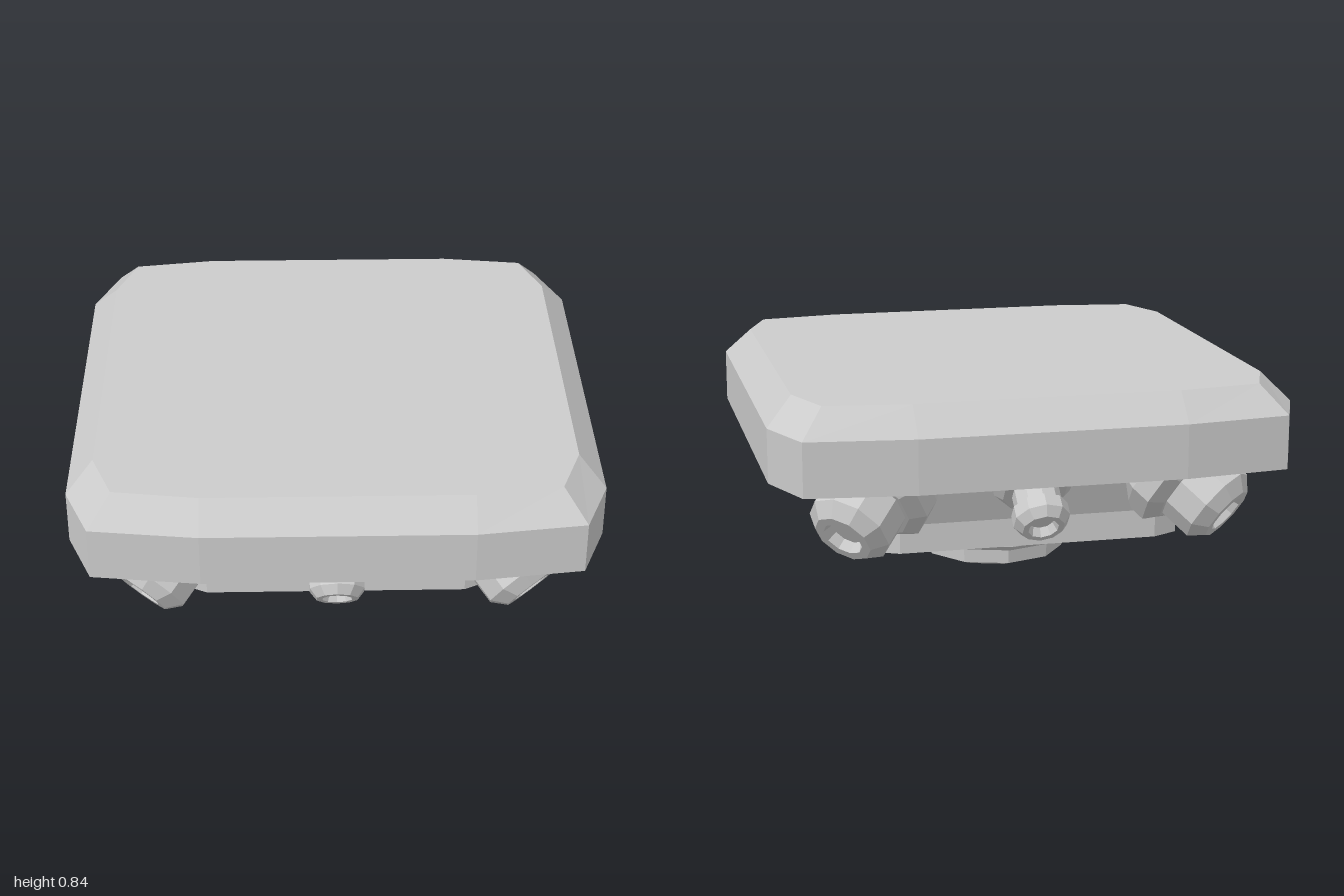
import * as THREE from 'three';

const material = new THREE.MeshStandardMaterial({ color: 0xcccccc, flatShading: true, side: THREE.DoubleSide });

// Mirror the corner points of one quadrant into a full outline, front -> right -> back -> left
function outline(quarter) {
  const back = [...quarter].reverse();
  return [
    ...quarter.map(([x, z]) => [x, z]),
    ...back.map(([x, z]) => [x, -z]),
    ...quarter.map(([x, z]) => [-x, -z]),
    ...back.map(([x, z]) => [-x, z]),
  ];
}

// Closed solid through layers of { y, quarter }, listed from the bottom up
function loft(name, layers) {
  const rings = layers.map(({ y, quarter }) => outline(quarter).map(([x, z]) => [x, y, z]));
  const pos = [];
  const n = rings[0].length;
  const bottom = [0, layers[0].y, 0];
  const top = [0, layers[layers.length - 1].y, 0];
  for (let i = 0; i < n; i++) {
    const j = (i + 1) % n;
    for (let k = 0; k < rings.length - 1; k++) {
      const [a, b, c, d] = [rings[k][i], rings[k][j], rings[k + 1][j], rings[k + 1][i]];
      pos.push(...a, ...b, ...c, ...a, ...c, ...d);
    }
    const last = rings[rings.length - 1];
    pos.push(...top, ...last[i], ...last[j], ...bottom, ...rings[0][j], ...rings[0][i]);
  }
  const geo = new THREE.BufferGeometry();
  geo.setAttribute('position', new THREE.Float32BufferAttribute(pos, 3));
  geo.computeVertexNormals();
  const mesh = new THREE.Mesh(geo, material);
  mesh.name = name;
  return mesh;
}

// Ten-sided turned part: profile of [radius, distance along axis], placed and aimed
function turned(name, profile, position, direction) {
  const geo = new THREE.LatheGeometry(profile.map(([r, t]) => new THREE.Vector2(r, t)), 10);
  const mesh = new THREE.Mesh(geo, material);
  mesh.name = name;
  mesh.position.set(...position);
  // Turn down first, then around, so that all nozzles share the same roll
  const heading = Math.atan2(direction[0], direction[2]);
  const pitch = Math.atan2(Math.hypot(direction[0], direction[2]), direction[1]);
  mesh.rotation.set(pitch, heading, 0, 'YXZ');
  return mesh;
}

export function createModel() {
  const model = new THREE.Group();
  model.name = 'hoverPlatform';

  // Thick top slab with bevelled rim
  const rim = [[0.5, 1], [0.905, 0.95], [1, 0.715]];
  model.add(loft('topSlab', [
    { y: 0.515, quarter: [[0.46, 0.92], [0.83, 0.875], [0.92, 0.66]] },
    { y: 0.53, quarter: rim },
    { y: 0.735, quarter: rim },
    { y: 0.84, quarter: [[0.5, 0.9], [0.82, 0.855], [0.9, 0.645]] },
  ]));

  // Underbody, flaring out towards the slab
  const base = [[0.5, 0.62], [0.6, 0.57]];
  model.add(loft('underbody', [
    { y: 0.2, quarter: base },
    { y: 0.31, quarter: base },
    { y: 0.53, quarter: [[0.55, 0.7], [0.68, 0.63]] },
  ]));

  // Main thruster under the middle
  model.add(turned('mainThruster', [
    [0.365, -0.22], [0.365, -0.115], [0.31, -0.085], [0.29, -0.085],
    [0.285, -0.025], [0.215, 0], [0.18, 0], [0.15, -0.07], [0, -0.07],
  ], [0, 0, 0], [0, -1, 0]));

  // Four corner nozzles
  const cornerProfile = [
    [0, -0.36], [0.2, -0.36], [0.235, -0.25], [0.235, -0.17], [0.18, -0.13],
    [0.165, -0.13], [0.165, 0], [0.115, 0.05], [0.08, 0.05], [0.065, 0.01], [0, 0.01],
  ];
  for (const sx of [1, -1]) {
    for (const sz of [1, -1]) {
      model.add(turned('cornerNozzle', cornerProfile,
        [0.71 * sx, 0.345, 0.735 * sz], [0.58 * sx, -0.574, 0.58 * sz]));
    }
  }

  // Four smaller nozzles in the middle of the sides
  const sideProfile = [
    [0, -0.3], [0.15, -0.3], [0.165, -0.22], [0.165, -0.17], [0.125, -0.13],
    [0.09, -0.13], [0.09, -0.06], [0.108, -0.05], [0.108, 0], [0.08, 0.035],
    [0.058, 0.035], [0.045, 0], [0, 0],
  ];
  for (const s of [1, -1]) {
    model.add(turned('endNozzle', sideProfile, [0, 0.35, 0.81 * s], [0, -0.643, 0.766 * s]));
    model.add(turned('sideNozzle', sideProfile, [0.78 * s, 0.35, 0], [0.766 * s, -0.643, 0]));
  }

  return model;
}
